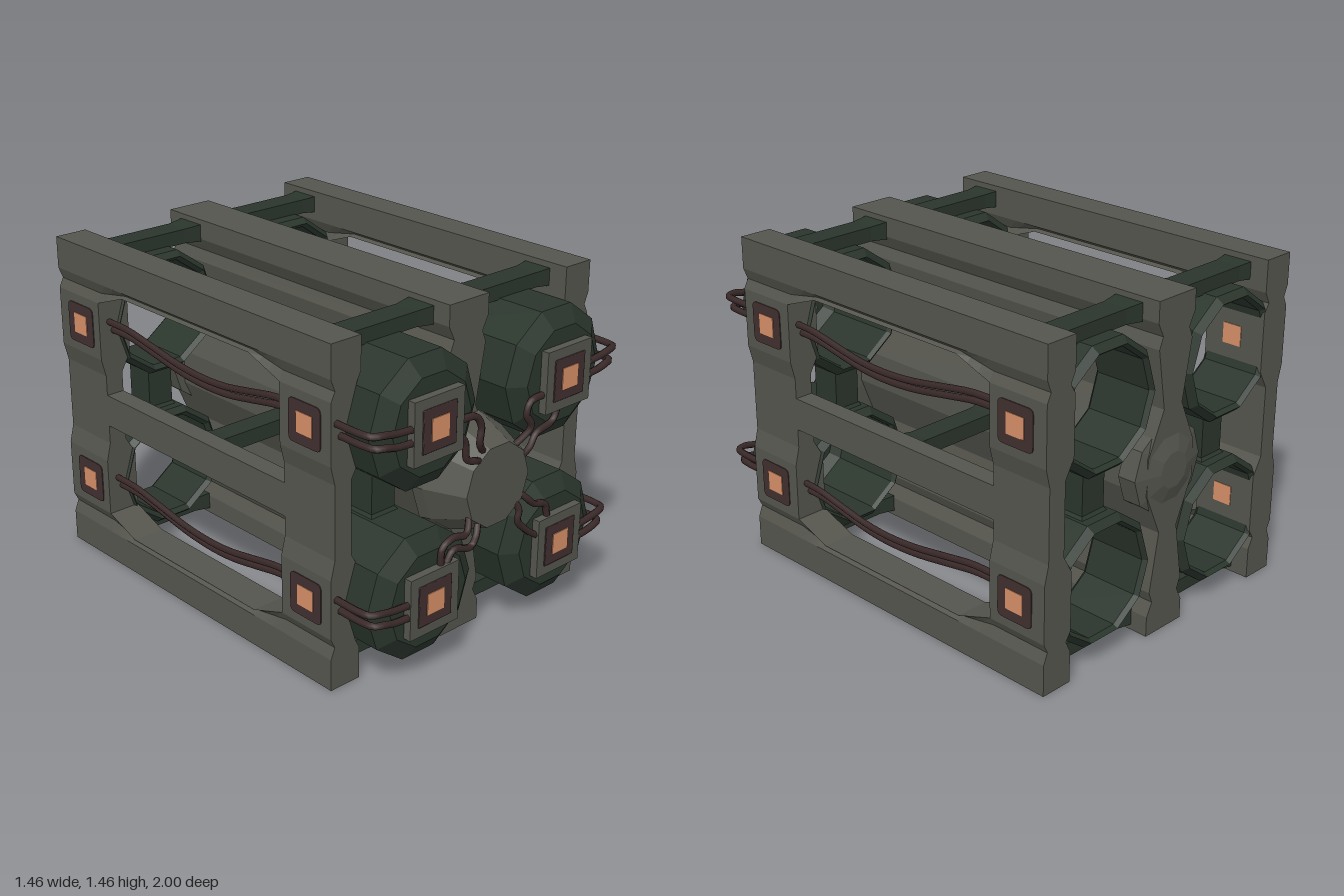
import * as THREE from 'three';
import { RoundedBoxGeometry } from 'three/addons/geometries/RoundedBoxGeometry.js';

const mat = (name, color) => Object.assign(new THREE.MeshStandardMaterial({ color }), { name });

const CY = 0.73;               // height of the centre line
const TX = 0.37, TY = 0.37;    // tube offsets from the centre
const Z0 = -0.98, Z1 = 0.78;   // frame ends
const W0 = -0.69, W1 = 0.49;   // side window ends

// cross-section rows: [y, outer x, inner x]
const WALL = [
  [0, 0.725, 0.575], [0.14, 0.725, 0.575], [0.19, 0.705, 0.6], [0.23, 0.725, 0.575],
  [0.49, 0.725, 0.575], [0.57, 0.705, 0.62], [0.89, 0.705, 0.62], [0.97, 0.725, 0.575],
  [1.23, 0.725, 0.575], [1.27, 0.705, 0.6], [1.32, 0.725, 0.575], [1.46, 0.725, 0.575],
];
const BEAM = [
  [0, 0.11], [0.09, 0.11], [0.15, 0.08], [0.2, 0.1], [0.46, 0.055], [0.65, 0.14],
  [0.81, 0.14], [1.0, 0.055], [1.26, 0.1], [1.31, 0.08], [1.37, 0.11], [1.46, 0.11],
].map(([y, x]) => [y, x, -x]);

// interpolated row of a cross-section at height y
function rowAt(rows, y) {
  let i = 1;
  while (i < rows.length - 1 && rows[i][0] < y) i++;
  const a = rows[i - 1], b = rows[i], t = (y - a[0]) / (b[0] - a[0]);
  return a.map((v, k) => v + (b[k] - v) * t);
}

// part of a cross-section between two heights, pulled along z
function slab(rows, y0, y1, z0, z1, side = 1, steps = 1) {
  const part = [rowAt(rows, y0), ...rows.filter(r => r[0] > y0 + 1e-4 && r[0] < y1 - 1e-4), rowAt(rows, y1)];
  const pts = part.map(r => new THREE.Vector2(r[1] * side, r[0]))
    .concat(part.slice().reverse().map(r => new THREE.Vector2(r[2] * side, r[0])));
  const g = new THREE.ExtrudeGeometry(new THREE.Shape(pts), { depth: z1 - z0, steps, bevelEnabled: false });
  return g.translate(0, 0, z0);
}

// moves each vertex by a rule
function warp(g, rule) {
  const p = g.attributes.position, v = new THREE.Vector3();
  for (let i = 0; i < p.count; i++) {
    rule(v.fromBufferAttribute(p, i));
    p.setXYZ(i, v.x, v.y, v.z);
  }
  return g;
}

// bar along x with flared ends
function strut(len, h, d, flare) {
  return warp(new THREE.BoxGeometry(len, h, d, 6), v => {
    if (Math.abs(v.x) > len * 0.34) {
      const k = Math.abs(v.x) > len * 0.49 ? flare : (1 + flare) / 2;
      v.y *= k; v.z *= k;
    }
  });
}

// ten-sided turned part around z, flat side up; profile is [radius, z]
function turned(profile) {
  const pts = profile.map(p => new THREE.Vector2(p[0], p[1]));
  return new THREE.LatheGeometry(pts, 10, Math.PI / 10).rotateX(Math.PI / 2);
}

function wire(points, r = 0.014) {
  const c = new THREE.CatmullRomCurve3(points.map(p => new THREE.Vector3(...p)), false, 'centripetal');
  return new THREE.TubeGeometry(c, 24, r, 6);
}

export function createModel() {
  const model = new THREE.Group();
  model.name = 'tubeRack';
  const grey = mat('frameGrey', 0x55554e), green = mat('darkGreen', 0x2a352c);
  const brown = mat('padBrown', 0x412f30), orange = mat('lightOrange', 0xd68f67);
  const cable = mat('cableBrown', 0x3a2929);

  const add = (name, geometry, material, x = 0, y = 0, z = 0, smooth = false) => {
    let g = geometry;
    if (!smooth) {
      g = g.index ? g.toNonIndexed() : g;
      g.computeVertexNormals();
    }
    const m = new THREE.Mesh(g, material);
    m.name = name;
    m.position.set(x, y, z);
    model.add(m);
    return m;
  };

  // centre beam with its front and back hubs
  add('centreBeam', slab(BEAM, 0, 1.46, Z0, Z1), grey);
  add('frontHub', turned([[0, 0.7], [0.26, 0.74], [0.25, 0.79], [0.186, 0.95], [0.18, 0.965], [0, 0.965]]), grey, 0, CY);
  add('backHub', turned([[0, -1], [0.08, -1], [0.2, -0.965], [0.2, -0.88], [0, -0.88]]), grey, 0, CY);

  for (const s of [1, -1]) {
    // side wall: end posts, middle bar and two arched rails
    add('frontPost', slab(WALL, 0, 1.46, W1, Z1, s), grey);
    add('backPost', slab(WALL, 0, 1.46, Z0, W0, s), grey);
    add('middleBar', slab(WALL, 0.655, 0.8, W0, W1, s), grey);
    const arch = z => {
      const t = Math.abs((z - (W0 + W1) / 2) / ((W1 - W0) / 2));
      return 1 - 0.8 * Math.min(1, (1 - t) / 0.3);
    };
    add('lowerRail', warp(slab(WALL, 0, 0.23, W0, W1, s, 20), v => {
      if (v.y > 0.15) v.y = 0.15 + (v.y - 0.15) * arch(v.z);
    }), grey);
    add('upperRail', warp(slab(WALL, 1.23, 1.46, W0, W1, s, 20), v => {
      if (v.y < 1.31) v.y = 1.31 - (1.31 - v.y) * arch(v.z);
    }), grey);

    // cross bars between wall and beam
    for (const z of [0.625, -0.83]) {
      add('topBar', strut(0.48, 0.065, 0.115, 1.2), green, s * 0.35, 1.397, z);
      add('bottomBar', strut(0.48, 0.065, 0.115, 1.2), green, s * 0.35, 0.063, z);
      add('tubeLink', strut(0.26, 0.125, 0.14, 1.5).rotateZ(Math.PI / 2), green, s * TX, CY, z);
    }
    add('middleCrossBar', strut(0.53, 0.068, 0.105, 1.3), green, s * 0.365, CY, -0.1);

    for (const u of [1, -1]) {
      const x = s * TX, y = CY + u * TY;
      // hollow front cap and open back ring
      add('frontCap', turned([[0.25, 0.48], [0.284, 0.51], [0.284, 0.905], [0.21, 0.955], [0, 0.955],
        [0, 0.9], [0.2, 0.9], [0.24, 0.86], [0.24, 0.5], [0.25, 0.48]]), green, x, y);
      add('backRing', turned([[0.255, -0.98], [0.284, -0.95], [0.284, -0.71], [0.26, -0.68],
        [0.24, -0.7], [0.24, -0.96], [0.255, -0.98]]), green, x, y);

      // front plate with its light
      add('frontPlate', new THREE.BoxGeometry(0.265, 0.265, 0.06), grey, x, y, 0.96);
      add('frontPad', new RoundedBoxGeometry(0.18, 0.18, 0.009, 2, 0.004), brown, x, y, 0.991);
      add('frontLight', new THREE.BoxGeometry(0.095, 0.095, 0.006), orange, x, y, 0.996);
      // inside of the cap
      add('innerPlate', new THREE.BoxGeometry(0.22, 0.22, 0.03), grey, x, y, 0.89);
      add('innerLight', new THREE.BoxGeometry(0.09, 0.09, 0.008), orange, x, y, 0.872);

      // side lights, reaching through the wall
      for (const z of [0.635, -0.825]) {
        const pad = new THREE.Shape();
        const h = 0.09, c = 0.025;
        pad.moveTo(-h + c, -h).lineTo(h - c, -h).quadraticCurveTo(h, -h, h, -h + c)
          .lineTo(h, h - c).quadraticCurveTo(h, h, h - c, h).lineTo(-h + c, h)
          .quadraticCurveTo(-h, h, -h, h - c).lineTo(-h, -h + c).quadraticCurveTo(-h, -h, -h + c, -h);
        add('sidePad', new THREE.ExtrudeGeometry(pad, { depth: 0.008, bevelEnabled: false, curveSegments: 4 })
          .translate(0, 0, -0.004).rotateY(Math.PI / 2), brown, s * 0.725, y, z);
        add('sideLight', new THREE.BoxGeometry(0.16, 0.09, 0.09), orange, s * 0.652, y, z);
      }

      // paired cables across the window and around the front corner
      for (const k of [0, 1]) {
        const yc = y + (k ? -0.012 : 0.03);
        add('windowCable', wire([[0.52, 0], [0.4, -0.004], [0.25, -0.03], [0.1, -0.055], [-0.04, -0.062],
          [-0.2, -0.052], [-0.4, -0.02], [-0.55, 0.003], [-0.72, 0.005]]
          .map(([z, dy]) => [s * (k ? 0.655 : 0.675), yc + dy, z])), cable, 0, 0, 0, true);
        const xo = k ? 0.675 : 0.695, ye = y + (k ? -0.015 : 0.04);
        add('cornerCable', wire([[xo, ye, 0.75], [xo, ye, 0.9], [xo - 0.012, ye, 0.955], [xo - 0.05, ye, 0.973],
          [0.58, ye - 0.012, 0.973], [0.49, ye - 0.02, 0.973]].map(p => [s * p[0], p[1], p[2]]), 0.016),
        cable, 0, 0, 0, true);
      }
    }
  }

  // cables from the front plates to the hub
  const hubRoutes = [
    [[-0.23, 1.08], [-0.15, 1.07], [-0.115, 1.02], [-0.12, 0.95], [-0.06, 0.88]],
    [[-0.24, 1.02], [-0.205, 0.98], [-0.19, 0.9], [-0.14, 0.88], [-0.08, 0.85]],
    [[0.25, 1.05], [0.17, 1.04], [0.15, 0.99], [0.18, 0.93], [0.11, 0.85]],
    [[0.34, 0.98], [0.31, 0.92], [0.21, 0.89], [0.175, 0.84], [0.14, 0.78]],
    [[-0.32, 0.48], [-0.31, 0.56], [-0.25, 0.585], [-0.18, 0.575], [-0.13, 0.65]],
    [[-0.29, 0.48], [-0.25, 0.53], [-0.15, 0.51], [-0.12, 0.55], [-0.08, 0.62]],
    [[0.25, 0.42], [0.19, 0.46], [0.125, 0.53], [0.13, 0.58], [0.1, 0.64]],
    [[0.31, 0.48], [0.29, 0.55], [0.22, 0.575], [0.18, 0.61], [0.13, 0.66]],
  ];
  for (const r of hubRoutes) {
    add('hubCable', wire(r.map(([x, y], i) => [x, y, i === 4 ? 0.935 : 0.968]), 0.015), cable, 0, 0, 0, true);
  }
  return model;
}
